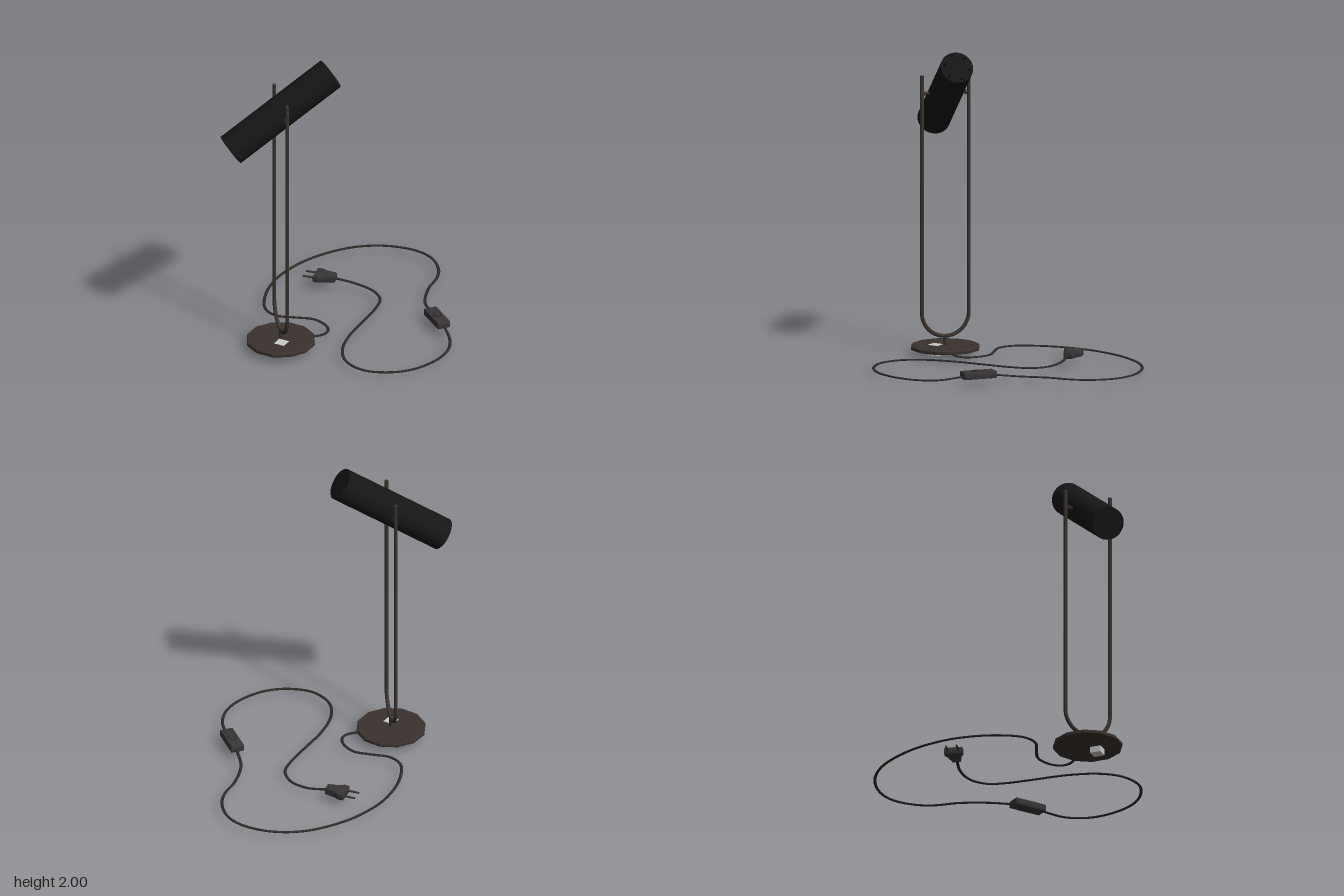
import * as THREE from 'three';
import { toCreasedNormals } from 'three/addons/utils/BufferGeometryUtils.js';

const mat = (color, extra = {}) => new THREE.MeshStandardMaterial({ color, ...extra });
const brown = mat(0x3a322e);
const brownFlat = mat(0x3a322e, { flatShading: true });
const black = mat(0x161616);
const capGrey = mat(0x262626);
const holeBlack = mat(0x050505);
const rubber = mat(0x3a3638);
const cableMat = mat(0x2e2a28);
const lightGrey = mat(0xcccccc);

function add(parent, name, geometry, material, x = 0, y = 0, z = 0) {
  const mesh = new THREE.Mesh(geometry, material);
  mesh.name = name;
  mesh.position.set(x, y, z);
  parent.add(mesh);
  return mesh;
}

function addGroup(parent, name, x, y, z, turn = 0) {
  const group = new THREE.Group();
  group.name = name;
  group.position.set(x, y, z);
  group.rotation.y = turn;
  parent.add(group);
  return group;
}

const lathe = (points, segments, start = 0) =>
  new THREE.LatheGeometry(points.map(([r, y]) => new THREE.Vector2(r, y)), segments, start);

// Horizontal slab from a half outline (x, half width), mirrored, with bevelled edges
function slab(half, height, bevel) {
  const outline = [...half, ...half.slice().reverse().map(([x, w]) => [x, -w])];
  const shape = new THREE.Shape(outline.map(([x, w]) => new THREE.Vector2(x, w)));
  const geometry = new THREE.ExtrudeGeometry(shape, {
    depth: height - 2 * bevel, bevelThickness: bevel, bevelSize: bevel, bevelOffset: -bevel, bevelSegments: 2,
  });
  return toCreasedNormals(geometry.rotateX(-Math.PI / 2).translate(0, bevel, 0), 0.6);
}

// Flattened cable through points (x, z, optional y)
function cable(points) {
  const flat = 0.6;
  const path = new THREE.CatmullRomCurve3(points.map(([x, z, y = 0.044]) => new THREE.Vector3(x, y / flat, z)));
  return new THREE.TubeGeometry(path, 160, 0.0098, 8).scale(1, flat, 1);
}

export function createModel() {
  const lamp = new THREE.Group();
  lamp.name = 'deskLamp';
  const X = -0.28, Z = 0.583;

  // Twelve-sided base with a bevelled rim, and the block set through it
  add(lamp, 'base', lathe([[0, 0.04], [0.219, 0.04], [0.222, 0.043], [0.222, 0.059], [0.215, 0.066], [0, 0.066]], 12, Math.PI / 12),
    brownFlat, X, 0, Z);
  add(lamp, 'baseBlock', new THREE.BoxGeometry(0.07, 0.068, 0.07), lightGrey, -0.245, 0.034, 0.635);

  // U-shaped stand on a short stem, set diagonally
  const stand = addGroup(lamp, 'stand', X, 0, Z, -Math.PI / 4);
  const half = 0.152, bendY = 0.275, rod = 0.0125;
  add(stand, 'stem', new THREE.CylinderGeometry(0.012, 0.012, 0.07, 16), brown, 0, 0.095, 0);
  add(stand, 'bend', new THREE.TorusGeometry(half, rod, 12, 32, Math.PI).rotateZ(Math.PI), brown, 0, bendY, 0);
  for (const side of [-1, 1]) {
    add(stand, 'post', new THREE.CylinderGeometry(rod, rod, 1.805 - bendY, 12), brown, side * half, (1.805 + bendY) / 2, 0);
    add(stand, 'pivotPin', new THREE.CylinderGeometry(0.008, 0.008, 0.055, 12).rotateZ(Math.PI / 2), brown, side * 0.127, 1.69, 0);
    add(stand, 'pivotCollar', new THREE.CylinderGeometry(0.014, 0.014, 0.016, 16).rotateZ(Math.PI / 2), brown, side * 0.132, 1.69, 0);
  }

  // Tilted cylindrical shade
  const shade = addGroup(lamp, 'shade', X, 1.688, Z);
  shade.quaternion.setFromUnitVectors(new THREE.Vector3(0, 1, 0), new THREE.Vector3(1, 0.975, -1).normalize());
  const R = 0.105, L = 0.4;
  const shell = lathe([[0, -L + 0.006], [R - 0.004, -L + 0.006], [R - 0.004, -L], [R, -L], [R, L - 0.003], [R - 0.003, L], [0, L]], 40);
  add(shade, 'shadeShell', toCreasedNormals(shell, 0.6), black);
  add(shade, 'lowerDisc', new THREE.CylinderGeometry(R - 0.004, R - 0.004, 0.004, 40), capGrey, 0, -L + 0.005, 0);
  for (let i = 0; i < 6; i++) {
    const a = (i * Math.PI) / 3;
    add(shade, 'ventHole', new THREE.CylinderGeometry(0.008, 0.008, 0.002, 12), holeBlack, 0.082 * Math.cos(a), L, 0.082 * Math.sin(a));
  }

  // Cable from base to switch, then from switch to plug
  add(lamp, 'baseCable', cable([
    [-0.15, 0.45], [-0.09, 0.38], [-0.085, 0.32], [-0.13, 0.265], [-0.236, 0.228], [-0.355, 0.264], [-0.464, 0.3],
    [-0.565, 0.265], [-0.664, 0.1], [-0.712, -0.119], [-0.7, -0.31], [-0.64, -0.51], [-0.5, -0.73], [-0.33, -0.85],
    [-0.14, -0.89], [0, -0.855], [0.115, -0.748], [0.165, -0.643], [0.19, -0.49], [0.264, -0.31, 0.046], [0.39, -0.18, 0.066],
  ]), cableMat);
  add(lamp, 'plugCable', cable([
    [0.53, -0.075, 0.066], [0.645, 0.048, 0.047], [0.702, 0.176], [0.703, 0.324], [0.638, 0.5], [0.526, 0.612], [0.37, 0.668],
    [0.217, 0.62], [0.12, 0.5], [0.064, 0.31], [0.044, 0.07], [0.028, -0.095], [-0.005, -0.21],
    [-0.1, -0.288], [-0.236, -0.306, 0.052], [-0.38, -0.272, 0.072],
  ]), cableMat);

  // Inline switch with an oval rocker
  const inlineSwitch = addGroup(lamp, 'inlineSwitch', 0.455, 0, -0.126, -0.64);
  add(inlineSwitch, 'switchBody', slab([[0.108, 0.042], [-0.108, 0.042]], 0.046, 0.004), rubber, 0, 0.048, 0);
  add(inlineSwitch, 'rockerRim', new THREE.TorusGeometry(0.027, 0.004, 8, 28).rotateX(Math.PI / 2).scale(1.25, 1, 0.85), cableMat, 0, 0.094, 0);
  const rocker = add(inlineSwitch, 'rocker', new THREE.CylinderGeometry(0.025, 0.025, 0.014, 28).scale(1.25, 1, 0.85), rubber, 0, 0.093, 0);
  rocker.rotation.z = 0.12;

  // Two-pin plug with a ribbed strain relief
  const plug = addGroup(lamp, 'plug', -0.364, 0, -0.276, Math.PI + 0.21);
  add(plug, 'plugBody', slab([[0.135, 0.058], [0.1, 0.06], [0.075, 0.045], [0.04, 0.034], [0, 0.026]], 0.046, 0.005), rubber, 0, 0.05, 0);
  for (let i = 0; i < 3; i++) {
    add(plug, 'strainRib', new THREE.BoxGeometry(0.007, 0.048, 0.058 + i * 0.008), rubber, 0.012 + i * 0.018, 0.073, 0);
  }
  for (const side of [-1, 1]) {
    add(plug, 'pin', new THREE.CylinderGeometry(0.006, 0.0075, 0.085, 12).rotateZ(-Math.PI / 2), rubber, 0.165, 0.072, side * 0.034);
  }
  return lamp;
}
